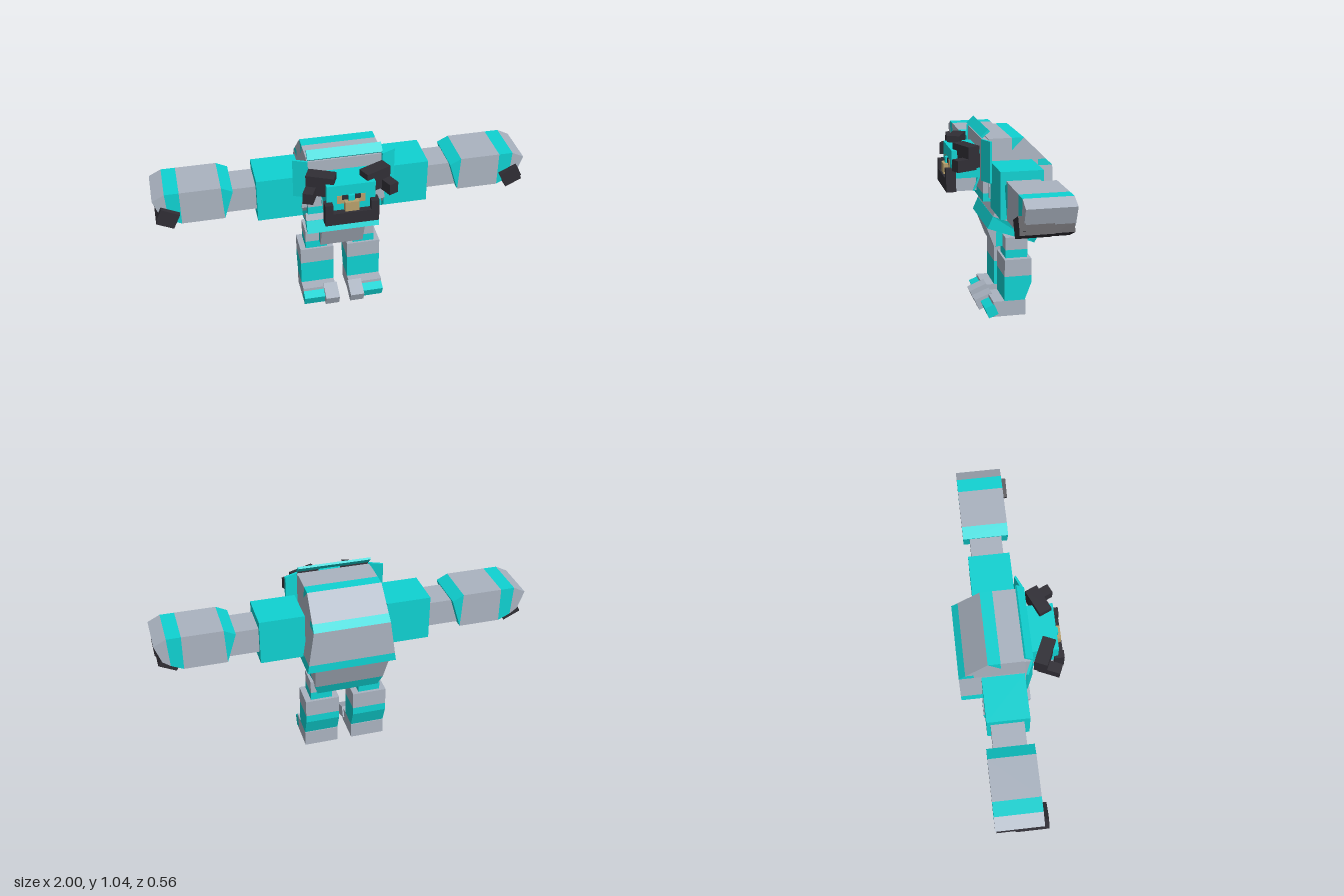
import * as THREE from 'three';

const mat = (name, color) => {
  const m = new THREE.MeshStandardMaterial({ color });
  m.name = name;
  return m;
};

export function createModel() {
  const teal = mat('teal', 0x0fd2d2);
  const gray = mat('gray', 0xaab3c0);
  const black = mat('black', 0x302e35);
  const tan = mat('tan', 0xb8a06c);

  const model = new THREE.Group();
  model.name = 'robot';

  const add = (parent, name, geo, m) => {
    const mesh = new THREE.Mesh(geo, m);
    mesh.name = name;
    parent.add(mesh);
    return mesh;
  };
  // Box given by its limits on each axis
  const box = (parent, name, m, [x0, x1], [y0, y1], [z0, z1]) => {
    const mesh = add(parent, name, new THREE.BoxGeometry(x1 - x0, y1 - y0, z1 - z0), m);
    mesh.position.set((x0 + x1) / 2, (y0 + y1) / 2, (z0 + z1) / 2);
    return mesh;
  };
  const extrude = (points, depth) => new THREE.ExtrudeGeometry(
    new THREE.Shape(points.map(p => new THREE.Vector2(...p))), { depth, bevelEnabled: false });
  // Side profile of (z, y) points spread across x, half width depending on y
  const prism = (parent, name, m, points, halfWidth) => {
    const geo = extrude(points, 1);
    const p = geo.attributes.position;
    for (let i = 0; i < p.count; i++) {
      const y = p.getY(i);
      p.setXYZ(i, (1 - 2 * p.getZ(i)) * halfWidth(y), y, p.getX(i));
    }
    geo.computeVertexNormals();
    return add(parent, name, geo, m);
  };
  // Front profile of (x, y) points extruded along z
  const slab = (parent, name, m, points, z0, z1) => {
    const mesh = add(parent, name, extrude(points, z1 - z0), m);
    mesh.position.z = z0;
    return mesh;
  };

  // Torso, tapering upward, with teal stripes
  const torso = new THREE.Group();
  torso.name = 'torso';
  model.add(torso);
  const torsoWidth = y => y < 0.838 ? 0.24 - (y - 0.597) * 0.145 : 0.205 - (y - 0.838) * 0.04;
  prism(torso, 'torsoHem', teal, [[0.015, 0.597], [-0.278, 0.597], [-0.278, 0.643], [0.04, 0.643]], torsoWidth);
  prism(torso, 'torsoBody', gray, [[0.04, 0.643], [-0.278, 0.643], [-0.278, 0.838], [0.065, 0.838], [0.065, 0.68]], torsoWidth);
  prism(torso, 'backStripe', teal, [[-0.2, 0.838], [-0.278, 0.838], [-0.243, 0.872], [-0.2, 0.872]], torsoWidth);
  prism(torso, 'backSlope', gray,
    [[-0.06, 0.838], [-0.2, 0.838], [-0.2, 0.872], [-0.243, 0.872], [-0.125, 0.99], [-0.06, 0.925]], torsoWidth);
  prism(torso, 'topStripe', teal, [[-0.06, 0.925], [-0.125, 0.99], [-0.06, 0.99]], torsoWidth);
  prism(torso, 'shoulderBlock', gray, [[0.065, 0.838], [-0.06, 0.838], [-0.06, 0.99], [0.065, 0.99]], torsoWidth);

  // Chest and collar
  box(torso, 'chestPlate', gray, [-0.2, 0.2], [0.7, 0.985], [0.06, 0.095]);
  box(torso, 'chestTrim', teal, [-0.2, 0.2], [0.655, 0.7], [0.03, 0.095]);
  const crest = box(torso, 'collarCrest', teal, [-0.198, 0.198], [1.01, 1.022], [0.054, 0.108]);
  crest.rotation.x = 0.75;
  for (const s of [1, -1]) {
    const flap = box(torso, 'collarFlap', teal, [s * 0.233 - 0.04, s * 0.233 + 0.04], [0.77, 0.99], [0.076, 0.088]);
    flap.rotation.y = s * 0.42;
  }

  // Waist and hips
  const waist = y => 0.2 - Math.max(0, 0.505 - y) * 0.3;
  prism(model, 'waist', gray, [[0.015, 0.63], [-0.278, 0.6], [-0.225, 0.465], [0.04, 0.57]], waist);
  prism(model, 'belt', teal, [[0.041, 0.57], [-0.225, 0.465], [-0.195, 0.4], [0.07, 0.505]], waist);
  prism(model, 'pelvis', teal, [[0.01, 0.48], [-0.17, 0.41], [-0.15, 0.375], [0.01, 0.375]], () => 0.118);
  prism(model, 'hipGuard', gray, [[0.066, 0.505], [0.005, 0.49], [0.005, 0.377], [0.017, 0.377]], () => 0.12);

  // Head
  const head = new THREE.Group();
  head.name = 'head';
  model.add(head);
  box(head, 'skull', teal, [-0.128, 0.128], [0.77, 0.92], [0.09, 0.246]);
  box(head, 'throat', gray, [-0.125, 0.125], [0.7, 0.772], [0.115, 0.23]);
  const neck = box(head, 'neckGuard', teal, [-0.128, 0.128], [0.695, 0.775], [0.11, 0.12]);
  neck.rotation.x = -0.38;
  neck.position.y = 0.735;
  slab(head, 'jaw', black, [[-0.142, 0.7], [0.142, 0.7], [0.142, 0.825], [0.1, 0.825], [0.1, 0.77],
    [-0.1, 0.77], [-0.1, 0.825], [-0.142, 0.825]], 0.226, 0.279);
  box(head, 'muzzle', tan, [-0.037, 0.037], [0.775, 0.83], [0.24, 0.274]);
  box(head, 'noseBridge', teal, [-0.016, 0.016], [0.83, 0.862], [0.24, 0.26]);
  for (const s of [1, -1]) {
    box(head, 'cheek', tan, [s * 0.055 - 0.02, s * 0.055 + 0.02], [0.81, 0.858], [0.243, 0.249]);
    box(head, 'eye', black, [s * 0.034 - 0.015, s * 0.034 + 0.015], [0.835, 0.86], [0.246, 0.252]);
    // Angled brow block with a forward outer prong
    const brow = new THREE.Group();
    brow.name = 'brow';
    brow.position.set(s * 0.127, 0, 0.14);
    brow.rotation.y = s * 0.42;
    head.add(brow);
    box(brow, 'browBlock', black, [-0.074, 0.074], [0.84, 0.955], [0, 0.07]);
    const prong = s > 0 ? [0.02, 0.074] : [-0.074, -0.02];
    box(brow, 'browProng', black, prong, [0.83, 0.892], [0.02, 0.137]);
  }

  // Limbs, built for +x and mirrored
  for (const s of [1, -1]) {
    const arm = new THREE.Group();
    arm.name = s > 0 ? 'leftArm' : 'rightArm';
    arm.scale.x = s;
    model.add(arm);
    box(arm, 'upperArm', teal, [0.222, 0.462], [0.63, 0.877], [-0.162, 0.06]);
    box(arm, 'forearm', gray, [0.45, 0.65], [0.69, 0.83], [-0.142, 0.03]);
    const gauntlet = [
      ['cuff', teal, [[0.585, 0.84], [0.635, 0.68], [0.645, 0.87]]],
      ['gauntlet', gray, [[0.635, 0.68], [0.86, 0.68], [0.86, 0.87], [0.645, 0.87]]],
      ['gauntletBand', teal, [[0.86, 0.68], [0.925, 0.71], [0.935, 0.87], [0.86, 0.87]]],
      ['knuckle', gray, [[0.925, 0.71], [0.965, 0.74], [1, 0.837], [0.935, 0.87]]],
    ];
    for (const [name, m, pts] of gauntlet) slab(arm, name, m, pts, -0.177, 0.067);
    // Hooked fingers
    const fingers = new THREE.Group();
    fingers.name = 'fingers';
    fingers.position.set(0.932, 0.735, 0);
    fingers.rotation.z = 0.45;
    arm.add(fingers);
    box(fingers, 'frontGuard', black, [-0.052, 0.052], [-0.025, 0.045], [0.06, 0.093]);
    box(fingers, 'frontFingers', black, [-0.052, 0.045], [-0.045, 0.02], [-0.075, 0.093]);
    box(fingers, 'rearFingers', black, [-0.06, 0.04], [-0.042, 0.01], [-0.17, -0.075]);

    const leg = new THREE.Group();
    leg.name = s > 0 ? 'leftLeg' : 'rightLeg';
    leg.scale.x = s;
    model.add(leg);
    box(leg, 'thigh', gray, [0.075, 0.195], [0.375, 0.445], [-0.15, -0.03]);
    box(leg, 'knee', teal, [0.075, 0.195], [0.32, 0.375], [-0.15, -0.03]);
    box(leg, 'shin', gray, [0.04, 0.227], [0.235, 0.33], [-0.166, -0.018]);
    const calf = prism(leg, 'calf', teal,
      [[-0.018, 0.235], [-0.166, 0.235], [-0.166, 0.192], [-0.13, 0.097], [-0.018, 0.097]], () => 0.0935);
    calf.position.x = 0.1335;
    box(leg, 'foot', gray, [0.04, 0.227], [0.01, 0.097], [-0.135, 0.045]);
    const innerToe = box(leg, 'innerToe', gray, [0.032, 0.11], [0.026, 0.09], [0.0135, 0.1145]);
    const outerToe = box(leg, 'outerToe', teal, [0.107, 0.227], [0.0115, 0.0745], [0.025, 0.081]);
    innerToe.rotation.x = outerToe.rotation.x = 0.39;
  }

  return model;
}
